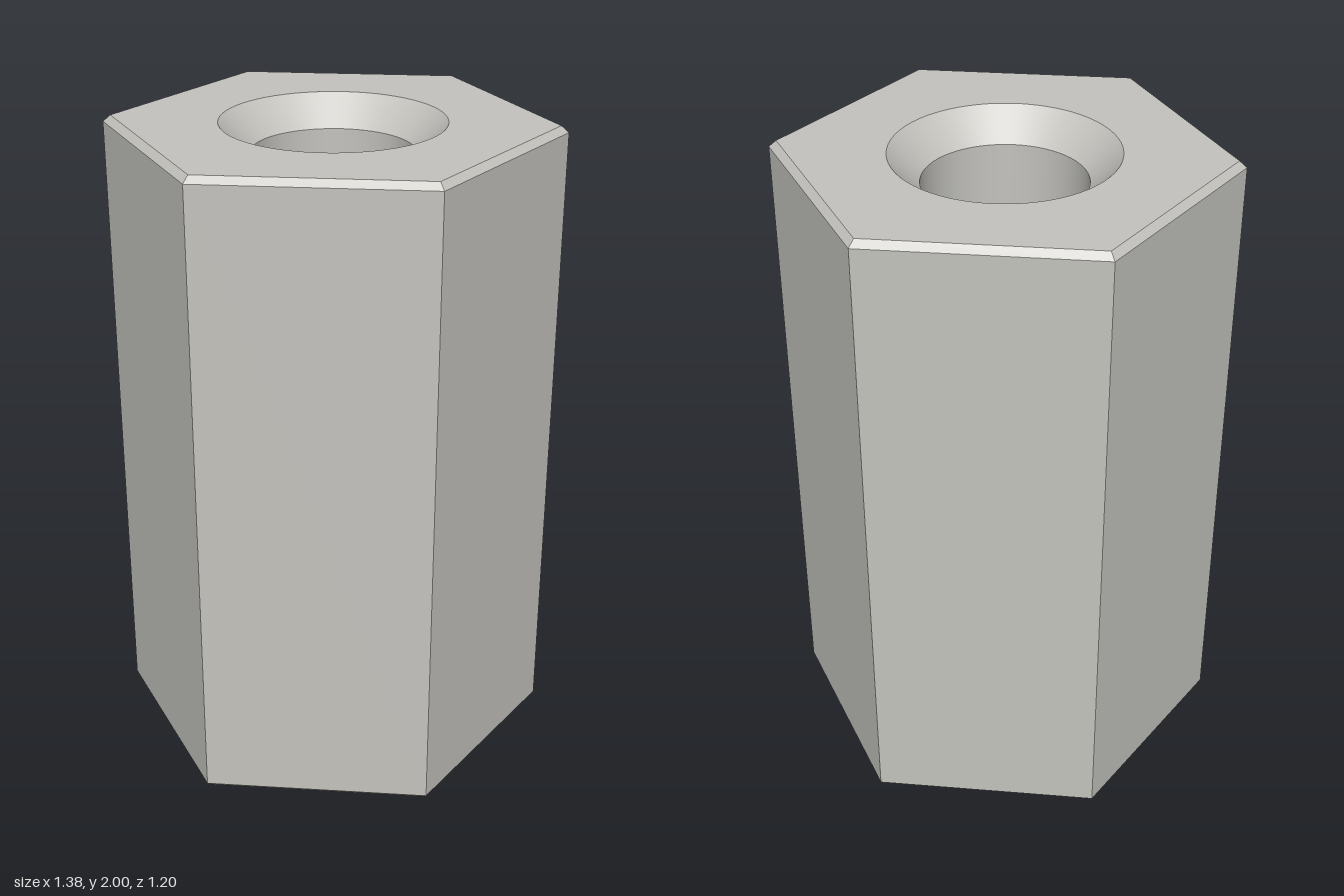
import * as THREE from 'three';

const HEIGHT = 2;
const HEX_R = 0.69;        // centre to corner
const HEX_TOP_R = 0.667;   // corner radius inside the edge chamfer
const CHAMFER = 0.02;
const BORE_R = 0.247;
const SINK_R = 0.34;
const SINK_DEPTH = 0.093;
const ROUND = 64;

const v2 = (x, y) => new THREE.Vector2(x, y);

export function createModel() {
  const group = new THREE.Group();
  const metal = new THREE.MeshStandardMaterial({ color: 0xc4c3be });
  metal.name = 'greyMetal';

  const add = (name, geometry) => {
    const mesh = new THREE.Mesh(geometry, metal);
    mesh.name = name;
    group.add(mesh);
    return mesh;
  };

  // Six flat sides with a small chamfer at both ends
  const sides = new THREE.LatheGeometry([
    v2(HEX_TOP_R, 0), v2(HEX_R, CHAMFER),
    v2(HEX_R, HEIGHT - CHAMFER), v2(HEX_TOP_R, HEIGHT),
  ], 6, Math.PI / 6).toNonIndexed();
  sides.computeVertexNormals();
  add('hexSides', sides);

  // Flat end faces with the countersink opening
  const face = new THREE.Shape(Array.from({ length: 6 }, (_, i) =>
    v2(HEX_TOP_R * Math.cos(i * Math.PI / 3), HEX_TOP_R * Math.sin(i * Math.PI / 3))));
  face.holes.push(new THREE.Path().absarc(0, 0, SINK_R, 0, Math.PI * 2, true));
  const faceGeometry = new THREE.ShapeGeometry(face, ROUND / 2);
  const top = add('topFace', faceGeometry);
  top.rotation.x = -Math.PI / 2;
  top.position.y = HEIGHT;
  add('bottomFace', faceGeometry).rotation.x = Math.PI / 2;

  // Inner walls run downwards so they face the axis
  const inner = (name, r1, y1, r2, y2) =>
    add(name, new THREE.LatheGeometry([v2(r1, y1), v2(r2, y2)], ROUND));
  inner('topCountersink', SINK_R, HEIGHT, BORE_R, HEIGHT - SINK_DEPTH);
  inner('bore', BORE_R, HEIGHT - SINK_DEPTH, BORE_R, SINK_DEPTH);
  inner('bottomCountersink', BORE_R, SINK_DEPTH, SINK_R, 0);

  return group;
}
